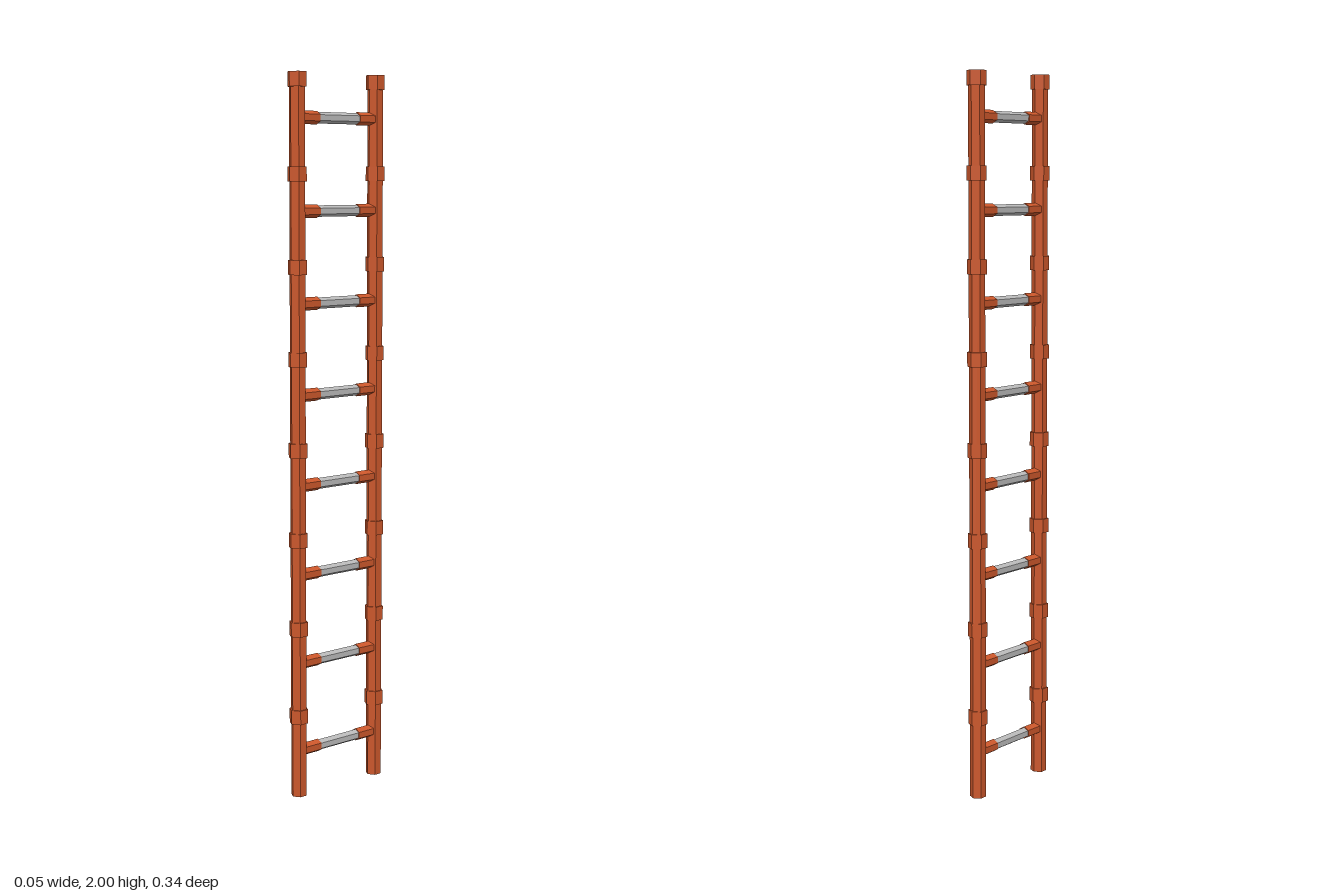
import * as THREE from 'three';

export function createModel() {
  const orange = new THREE.MeshStandardMaterial({ color: 0xcb572b });
  orange.name = 'orange';
  const grey = new THREE.MeshStandardMaterial({ color: 0xb9b9b9 });
  grey.name = 'grey';

  const STEPS = 8, SPACING = 0.25, RAIL_Z = 0.144;
  const model = new THREE.Group();
  model.name = 'ladder';

  // Hexagonal prism with faceted sides, upright on its centre
  const hex = (radius, length) =>
    new THREE.CylinderGeometry(radius, radius, length, 6).toNonIndexed();
  const flat = (geometry) => {
    geometry.computeVertexNormals();
    return geometry;
  };
  const railGeo = flat(hex(0.0225, 1.99));
  const collarGeo = flat(hex(0.027, 0.04));
  const sleeveGeo = flat(hex(0.018, 0.071).rotateX(Math.PI / 2));
  const rungGeo = flat(hex(0.0155, 0.16).rotateX(Math.PI / 2));

  const add = (parent, name, geometry, material, y, z) => {
    const mesh = new THREE.Mesh(geometry, material);
    mesh.name = name;
    mesh.position.set(0, y, z);
    parent.add(mesh);
  };

  // Rails with a collar between each pair of rungs and one at the top
  for (const side of [1, -1]) {
    const rail = new THREE.Group();
    rail.name = side > 0 ? 'frontRail' : 'backRail';
    add(rail, 'railPole', railGeo, orange, 0.995, side * RAIL_Z);
    for (let i = 0; i < STEPS; i++) {
      add(rail, 'railCollar', collarGeo, orange, 0.23 + i * SPACING, side * RAIL_Z);
    }
    model.add(rail);
  }

  // Rungs: grey bar held by an orange sleeve at each end
  for (let i = 0; i < STEPS; i++) {
    const y = 0.13 + i * SPACING;
    const rung = new THREE.Group();
    rung.name = 'rung';
    add(rung, 'rungBar', rungGeo, grey, y, 0);
    for (const side of [1, -1]) {
      add(rung, 'rungSleeve', sleeveGeo, orange, y, side * 0.1085);
    }
    model.add(rung);
  }
  return model;
}
